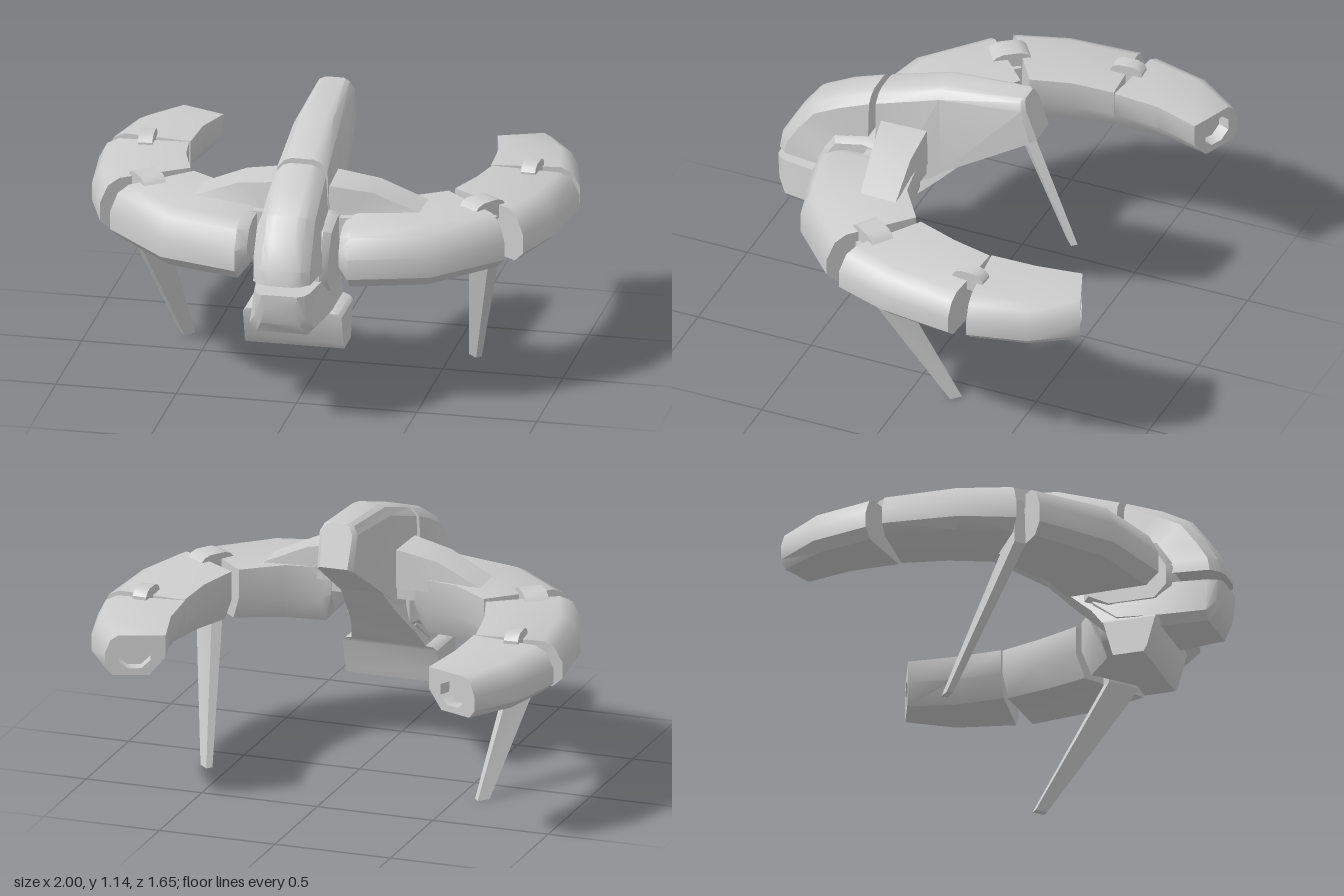
import * as THREE from 'three';
import { toCreasedNormals } from 'three/addons/utils/BufferGeometryUtils.js';

const material = new THREE.MeshStandardMaterial({ color: 0xcccccc });

// Skin a list of equal-sized rings of [x, y, z] points, close both ends, face outwards.
function loft(rings) {
  const tris = [];
  const n = rings[0].length;
  for (let r = 0; r < rings.length - 1; r++) {
    for (let i = 0; i < n; i++) {
      const j = (i + 1) % n;
      const [a, b, c, d] = [rings[r][i], rings[r][j], rings[r + 1][j], rings[r + 1][i]];
      tris.push([a, b, c], [a, c, d]);
    }
  }
  const first = rings[0], last = rings[rings.length - 1];
  for (let i = 1; i < n - 1; i++) {
    tris.push([first[0], first[i + 1], first[i]], [last[0], last[i], last[i + 1]]);
  }
  let volume = 0;
  for (const [a, b, c] of tris) {
    volume += a[0] * (b[1] * c[2] - b[2] * c[1]) + a[1] * (b[2] * c[0] - b[0] * c[2])
      + a[2] * (b[0] * c[1] - b[1] * c[0]);
  }
  const flat = tris.flatMap(([a, b, c]) => (volume < 0 ? [...a, ...c, ...b] : [...a, ...b, ...c]));
  const geo = new THREE.BufferGeometry();
  geo.setAttribute('position', new THREE.Float32BufferAttribute(flat, 3));
  return geo;
}

// Copy of a lofted geometry reflected in x with the winding put right.
function mirrorX(source) {
  const geo = source.clone();
  const p = geo.attributes.position;
  for (let i = 0; i < p.count; i += 3) {
    const v = [0, 2, 1].map((k) => new THREE.Vector3().fromBufferAttribute(p, i + k));
    v.forEach((q, k) => p.setXYZ(i + k, -q.x, q.y, q.z));
  }
  return geo;
}

// Arm cross-section: [across from inner to outer side, height], both 0..1.
const armSection = (undercut) => [[undercut, 0], [0.88, 0], [1, 0.2], [1, 0.55], [0.91, 0.88], [0.78, 1],
  [0, 1], [0, 0.45]];
// Round section for the tail sockets, point for point with the arm section.
const SOCKET = armSection(0).map((_, i) => {
  const a = -2 + (i * Math.PI) / 4;
  return [0.52 + 0.29 * Math.cos(a), 0.5 + 0.36 * Math.sin(a)];
});
const armRing = ([ox, oz, ix, iz, lo, hi, undercut = 0.12], section = armSection(undercut)) =>
  section.map(([t, f]) => [ix + (ox - ix) * t, lo + (hi - lo) * f, iz + (oz - iz) * t]);

// Symmetric spine ring between a top and a bottom point, with a bevelled, rounded crest.
function spineRing([tz, ty, bz, by, topW, midW, botW]) {
  const bevel = 0.045 / Math.hypot(tz - bz, ty - by);
  const half = [[botW, 0], [midW, 1 - bevel], [(topW + midW) / 2, 1 - bevel * 0.25], [topW, 1]];
  const at = (x, f) => [x, by + (ty - by) * f, bz + (tz - bz) * f];
  return [...half.map(([x, f]) => at(x, f)), ...half.reverse().map(([x, f]) => at(-x, f))];
}

// Horizontal rectangle about x, z with half sizes, turned by an angle.
const rect = (x, z, hx, hz, y, angle = 0) => [[-1, -1], [1, -1], [1, 1], [-1, 1]].map(([a, b]) => {
  const c = Math.cos(angle), s = Math.sin(angle);
  return [x + a * hx * c + b * hz * s, y, z - a * hx * s + b * hz * c];
});

// Low arched bracket that bridges a gap between arm sections.
const clip = (x, z, hx, hz, y, angle) => loft(
  [[1, -0.04], [1, 0.015], [0.8, 0.032], [0.45, 0.042]].map(([s, dy]) => rect(x, z, hx, hz * s, y + dy, angle)));

export function createModel() {
  const group = new THREE.Group();
  const add = (name, geo, crease = 0.6) => {
    const mesh = new THREE.Mesh(toCreasedNormals(geo, crease), material);
    mesh.name = name;
    group.add(mesh);
  };
  const addPair = (name, geo, crease) => {
    add(name + 'Left', geo, crease);
    add(name + 'Right', mirrorX(geo), crease);
  };

  // Curved arms in three sections: outer x, z, inner x, z, bottom, top, undercut
  const front = [[0.19, 0.57, 0.18, 0.155, 0.6, 0.775], [0.235, 0.605, 0.22, 0.155, 0.545, 0.79],
    [0.56, 0.52, 0.37, 0.13, 0.55, 0.79], [0.82, 0.29, 0.53, 0.02, 0.567, 0.787]];
  const middle = [[0.88, 0.21, 0.55, -0.01, 0.57, 0.787], [0.96, -0.01, 0.605, -0.18, 0.575, 0.78],
    [0.998, -0.325, 0.63, -0.35, 0.575, 0.765, 0.15]];
  const tail = [[0.985, -0.4, 0.625, -0.355, 0.575, 0.765, 0.15], [0.925, -0.645, 0.615, -0.55, 0.575, 0.76, 0.2],
    [0.8, -0.825, 0.57, -0.735, 0.575, 0.745, 0.27]];
  addPair('frontArm', loft(front.map((s) => armRing(s))), 0.72);
  addPair('middleArm', loft(middle.map((s) => armRing(s))), 0.72);
  // The tail section ends in a recessed socket
  const socket = armRing(tail[2], SOCKET);
  const socketFloor = socket.map(([x, y, z]) => [x + 0.02, y, z + 0.05]);
  addPair('tailArm', loft([...tail.map((s) => armRing(s)), socket, socketFloor]), 0.72);

  // Brackets over the gaps
  addPair('frontClip', clip(0.695, 0.14, 0.05, 0.08, 0.77, -0.62));
  addPair('rearClip', clip(0.8, -0.34, 0.03, 0.068, 0.762, -0.06));

  // Raked legs rising into the front gaps
  addPair('leg', loft([rect(0.597, -0.18, 0.026, 0.014, 0, -0.75),
    rect(0.7, 0.135, 0.07, 0.025, 0.56, -0.75), rect(0.7, 0.135, 0.07, 0.02, 0.75, -0.75)]), 0.3);

  // Front cowl: top z, y, bottom z, y, crest, shoulder and base half widths
  add('frontCowl', loft([
    [0.83, 0.63, 0.6, 0.63, 0.05, 0.118, 0.14], [0.82, 0.69, 0.56, 0.66, 0.05, 0.117, 0.14],
    [0.765, 0.785, 0.52, 0.68, 0.05, 0.115, 0.13], [0.69, 0.885, 0.48, 0.7, 0.05, 0.112, 0.125],
    [0.56, 0.955, 0.45, 0.7, 0.048, 0.11, 0.12], [0.415, 1.01, 0.415, 0.7, 0.045, 0.105, 0.12],
  ].map(spineRing)), 0.5);

  // Rear fin with a bevelled trailing edge
  add('rearFin', loft([
    [0.385, 1.02, 0.385, 0.47, 0.045, 0.105, 0.12], [0.11, 1.11, 0.1, 0.71, 0.045, 0.095, 0.1],
    [-0.235, 1.139, -0.285, 0.946, 0.045, 0.082, 0.078], [-0.25, 1.137, -0.31, 0.962, 0.035, 0.065, 0.06],
  ].map(spineRing)), 0.5);

  // Lower hull: z, bottom, top, base and deck half widths
  const hullRing = ([z, lo, hi, base, deck]) => [[-base * 0.78, lo, z], [base * 0.78, lo, z],
    [base, lo + 0.035, z], [deck, hi, z], [-deck, hi, z], [-base, lo + 0.035, z]];
  add('lowerHull', loft([[0.83, 0.54, 0.59, 0.075, 0.075], [0.812, 0.46, 0.59, 0.105, 0.1],
    [0.775, 0.41, 0.59, 0.135, 0.115], [0.59, 0.405, 0.59, 0.16, 0.14], [0.4, 0.42, 0.6, 0.16, 0.14],
    [0.29, 0.51, 0.65, 0.14, 0.12]].map(hullRing)), 0.5);

  // Keel sweeping from the underslung pod up to the fin: half width, back z, front z, y
  add('keel', loft([[0.205, 0.4, 0.53, 0.265], [0.205, 0.392, 0.545, 0.29], [0.205, 0.358, 0.58, 0.415],
    [0.19, 0.35, 0.58, 0.43], [0.16, 0.34, 0.56, 0.437], [0.14, 0.285, 0.5, 0.51],
    [0.125, 0.23, 0.45, 0.56], [0.105, 0.12, 0.4, 0.66], [0.088, 0, 0.35, 0.78],
  ].map(([w, b, f, y]) => rect(0, (b + f) / 2, w, (f - b) / 2, y))));

  // Hub joining cowl, hull and arms
  const hubSide = [[0.64, 0.57], [0.64, 0.66], [0.56, 0.78], [0.42, 0.81], [0.25, 0.78], [0.25, 0.56],
    [0.35, 0.51], [0.58, 0.51]];
  add('hub', loft([-0.155, -0.125, 0.125, 0.155].map((x) => hubSide.map(([z, y]) =>
    (Math.abs(x) > 0.14 ? [x, 0.65 + (y - 0.65) * 0.9, 0.44 + (z - 0.44) * 0.85] : [x, y, z])))));
  add('bridge', new THREE.BoxGeometry(0.5, 0.09, 0.24).translate(0, 0.737, 0.28));

  // Shoulder fairing: x, front z, back z, top
  addPair('shoulderFairing', loft([[0, 0.395, 0.155, 0.905], [0.11, 0.385, 0.155, 0.9],
    [0.28, 0.352, 0.15, 0.872], [0.49, 0.315, 0.13, 0.78]].map(([x, f, b, top]) =>
    [[x, 0.74, f], [x, top, f - 0.025], [x, top, b + 0.005], [x, 0.74, b]])), 0.4);

  return group;
}
